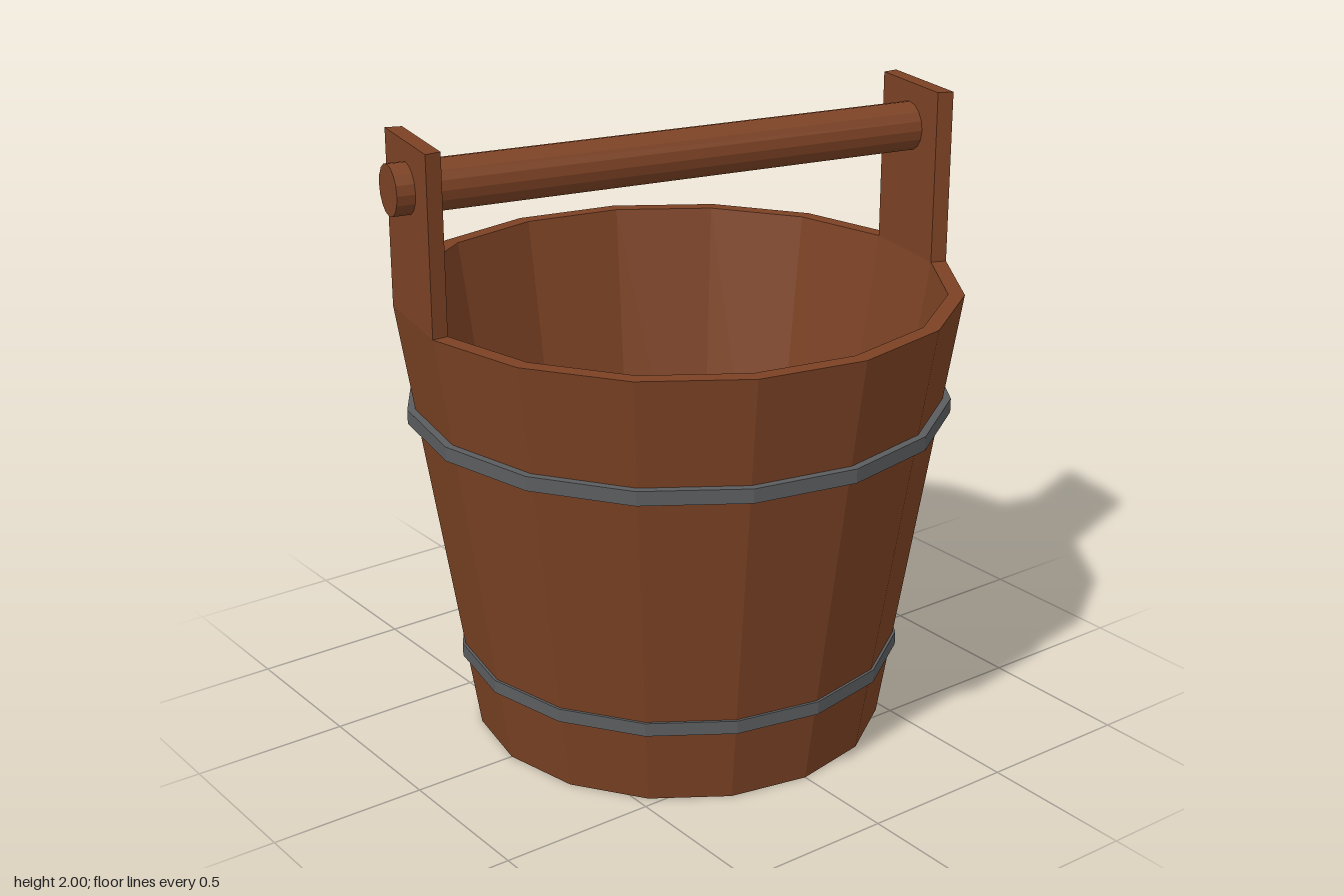
import * as THREE from 'three';

const SIDES = 16;
const STEP = (Math.PI * 2) / SIDES;
const TOP_R = 0.886, INNER_R = 0.835, RIM_Y = 1.45;

const wood = new THREE.MeshStandardMaterial({ color: 0x7c4224, flatShading: true });
const iron = new THREE.MeshStandardMaterial({ color: 0x5a5c5e, flatShading: true });

function lathe(name, profile, material) {
  const points = profile.map(([r, y]) => new THREE.Vector2(r, y));
  const mesh = new THREE.Mesh(new THREE.LatheGeometry(points, SIDES), material);
  mesh.name = name;
  return mesh;
}

// Iron hoop with a rectangular section, sunk into the tapered wall
function hoop(name, y0, y1, outer, inner) {
  return lathe(name, [[inner, y0], [outer, y0], [outer, y1], [inner, y1], [inner, y0]], iron);
}

// Upright stave filling one facet of the rim
function upright(name, turn) {
  const corner = (r, a) => new THREE.Vector2(r * Math.cos(a), -r * Math.sin(a));
  const shape = new THREE.Shape([
    corner(INNER_R, 0), corner(TOP_R, 0), corner(TOP_R, STEP), corner(INNER_R, STEP),
  ]);
  const geometry = new THREE.ExtrudeGeometry(shape, { depth: 2 - RIM_Y, bevelEnabled: false });
  geometry.rotateX(-Math.PI / 2).translate(0, RIM_Y, 0);
  const mesh = new THREE.Mesh(geometry, wood);
  mesh.name = name;
  mesh.rotation.y = turn;
  return mesh;
}

export function createModel() {
  const bucket = new THREE.Group();
  bucket.name = 'bucket';

  // Tapered tub: underside, outer wall, rim, inner wall, floor
  bucket.add(lathe('tub', [
    [0, 0], [0.66, 0], [TOP_R, RIM_Y], [INNER_R, RIM_Y], [0.62, 0.06], [0, 0.06],
  ], wood));

  bucket.add(hoop('lowerHoop', 0.247, 0.29, 0.714, 0.68));
  bucket.add(hoop('upperHoop', 1.065, 1.11, 0.858, 0.81));

  bucket.add(upright('leftUpright', 0), upright('rightUpright', Math.PI));

  // Round handle passing square through both uprights
  const handle = new THREE.Mesh(new THREE.CylinderGeometry(0.078, 0.078, 1.85, 16), wood);
  handle.geometry.rotateZ(Math.PI / 2);
  handle.name = 'handle';
  handle.position.y = 1.86;
  handle.rotation.y = -STEP / 2;
  bucket.add(handle);

  return bucket;
}
